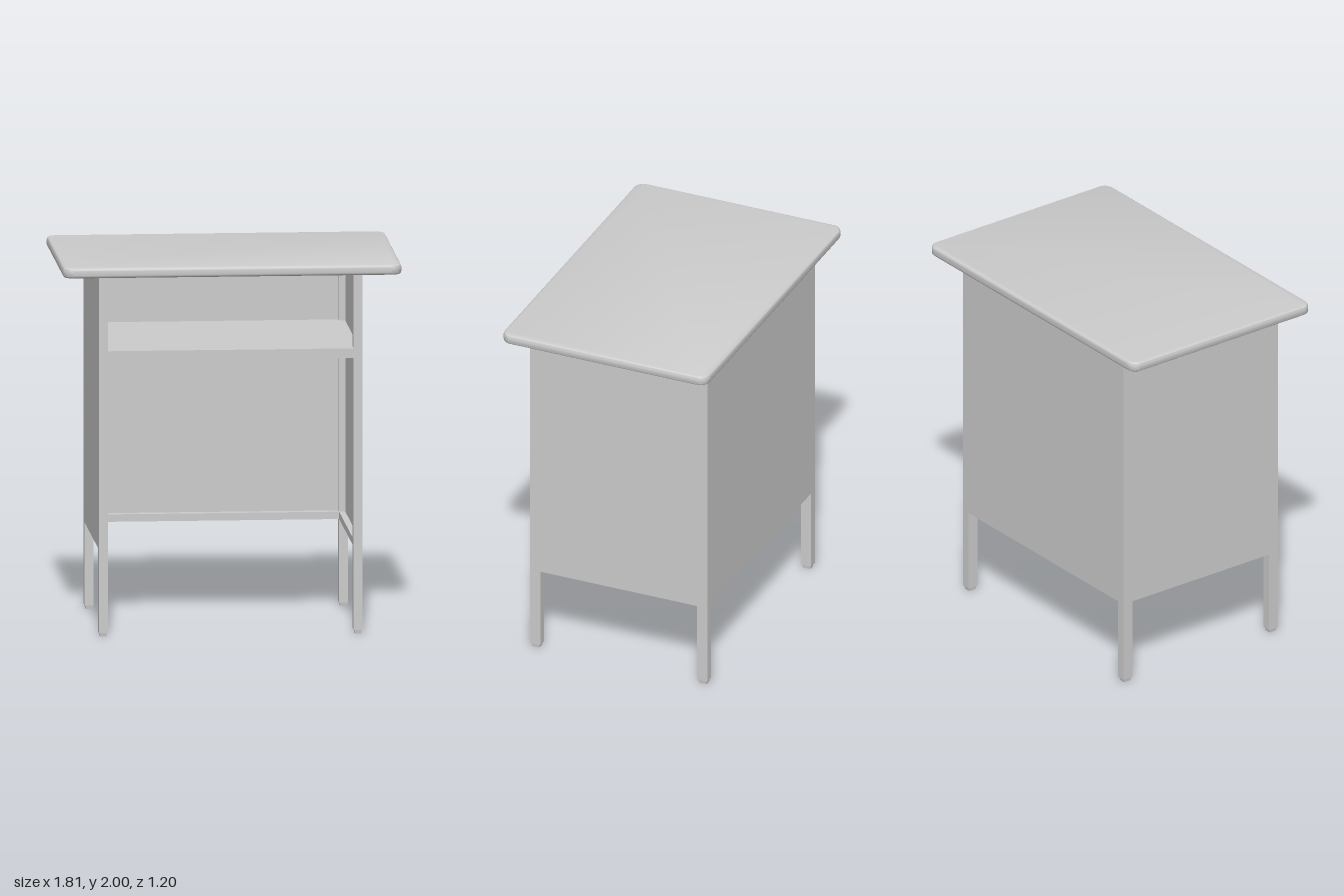
import * as THREE from 'three';
import { toCreasedNormals } from 'three/addons/utils/BufferGeometryUtils.js';

export function createModel() {
  const model = new THREE.Group();
  const material = new THREE.MeshStandardMaterial({ color: 0xcccccc });

  function add(name, geometry) {
    const mesh = new THREE.Mesh(geometry, material);
    mesh.name = name;
    model.add(mesh);
    return mesh;
  }

  // Box given by its lower and upper corners
  function block(name, x0, x1, y0, y1, z0, z1) {
    const mesh = add(name, new THREE.BoxGeometry(x1 - x0, y1 - y0, z1 - z0));
    mesh.position.set((x0 + x1) / 2, (y0 + y1) / 2, (z0 + z1) / 2);
    return mesh;
  }

  const cx = -0.005; // frame sits slightly off centre under the top
  const outX = 0.705, inX = 0.657, outZ = 0.518, inZ = 0.457;
  const legTop = 1.945, panelBottom = 0.47, railTop = 0.51, skin = 0.015;

  // Table top: rounded corners and a rounded edge all round
  const r = 0.04, bevel = 0.016, w = 0.905 - bevel, d = 0.6 - bevel;
  const outline = new THREE.Shape();
  outline.absarc(w - r, d - r, r, 0, Math.PI / 2);
  outline.absarc(-w + r, d - r, r, Math.PI / 2, Math.PI);
  outline.absarc(-w + r, -d + r, r, Math.PI, Math.PI * 1.5);
  outline.absarc(w - r, -d + r, r, Math.PI * 1.5, Math.PI * 2);
  const topGeometry = new THREE.ExtrudeGeometry(outline, {
    depth: 0.055 - 2 * bevel, bevelEnabled: true, bevelSize: bevel,
    bevelThickness: bevel, bevelSegments: 4, curveSegments: 8,
  });
  topGeometry.rotateX(-Math.PI / 2);
  add('tableTop', toCreasedNormals(topGeometry, 0.7)).position.y = legTop + bevel;

  // Legs with small glides that taper towards the floor
  for (const sx of [-1, 1]) {
    for (const sz of [-1, 1]) {
      const x = cx + sx * (outX + inX) / 2, z = sz * (outZ + inZ) / 2;
      const lw = outX - inX, ld = outZ - inZ;
      block('leg', x - lw / 2, x + lw / 2, 0.02, legTop, z - ld / 2, z + ld / 2);
      const glide = block('glide', x - 0.02, x + 0.02, 0, 0.02, z - 0.025, z + 0.025);
      const p = glide.geometry.attributes.position;
      for (let i = 0; i < p.count; i++) {
        if (p.getY(i) < 0) p.setXYZ(i, p.getX(i) * 0.88, p.getY(i), p.getZ(i) * 0.88);
      }
      glide.geometry.computeVertexNormals();
    }
  }

  // Side panels flush with the outside of the legs, bottom rails inside
  for (const s of [-1, 1]) {
    const span = (a, b) => [cx + s * a, cx + s * b].sort((m, n) => m - n);
    block('sidePanel', ...span(outX - skin, outX), panelBottom, legTop, -inZ, inZ);
    block('sideRail', ...span(inX, outX - skin), panelBottom, railTop, -inZ, inZ);
  }

  // Back panel and its bottom rail
  block('backPanel', cx - inX, cx + inX, panelBottom, legTop, -outZ, -outZ + skin);
  block('backRail', cx - inX, cx + inX, panelBottom, railTop, -outZ + skin, -inZ);

  // Shelf: fills the case and comes forward between the front legs
  const shelfX = outX - skin;
  block('shelf', cx - shelfX, cx + shelfX, 1.487, 1.54, -inZ, inZ);
  block('shelfFront', cx - inX, cx + inX, 1.487, 1.54, inZ, outZ);
  block('shelfBack', cx - inX, cx + inX, 1.487, 1.54, -outZ + skin, -inZ);

  return model;
}
